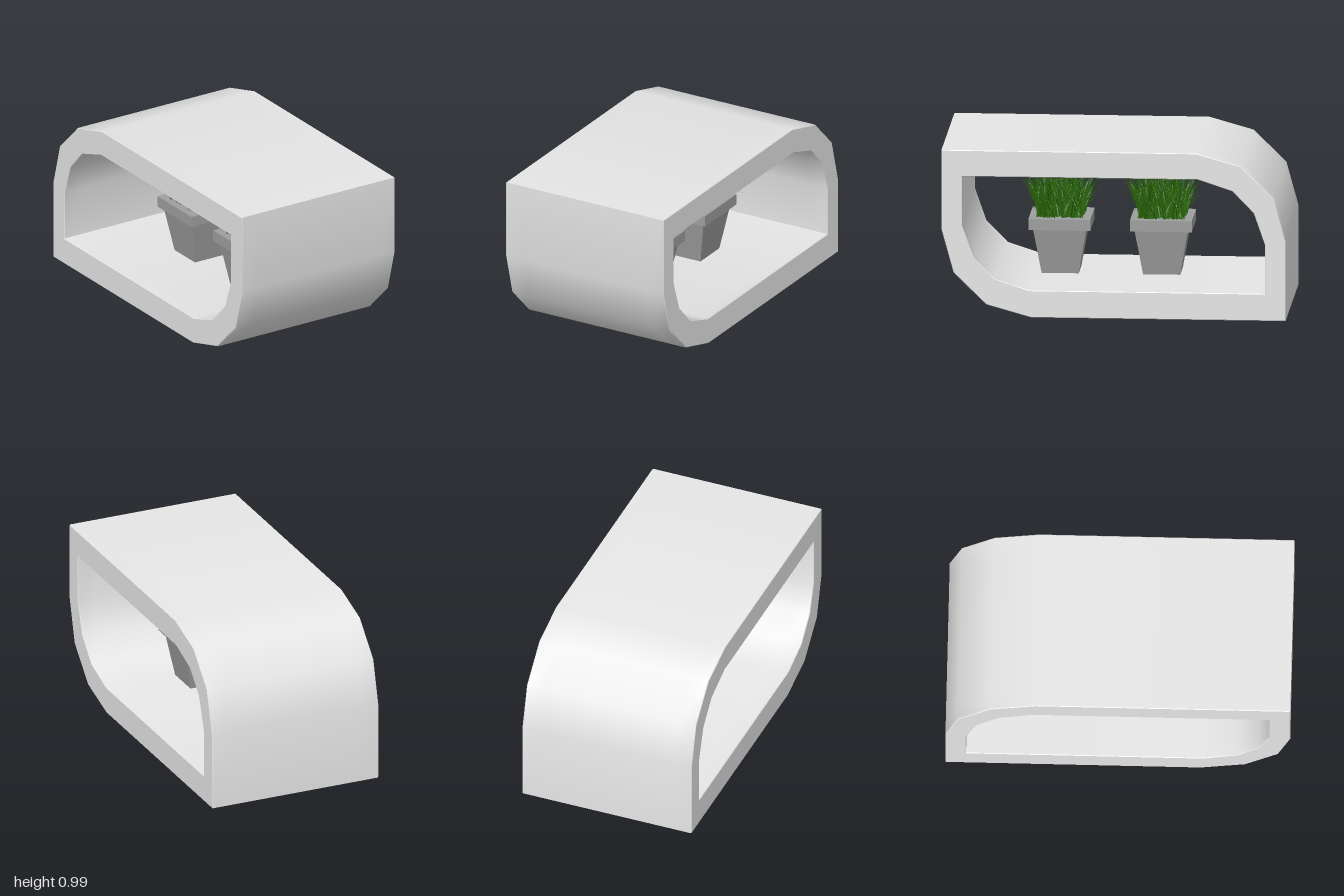
import * as THREE from 'three';
import { toCreasedNormals } from 'three/addons/utils/BufferGeometryUtils.js';

const mat = (name, color, side = THREE.FrontSide) => {
  const m = new THREE.MeshStandardMaterial({ color, side });
  m.name = name;
  return m;
};

const part = (name, geometry, material, y = 0) => {
  const mesh = new THREE.Mesh(geometry, material);
  mesh.name = name;
  mesh.position.y = y;
  return mesh;
};

// Half a profile, completed by turning it 180 degrees about its centre (anticlockwise).
function turnedLoop(half, height) {
  const turned = half.map(([x, y]) => [-x, height - y]);
  return [...half, ...turned].reverse().map(([x, y]) => new THREE.Vector2(x, y));
}

// Hollow planter shell, drawn in the side plane and extruded across the width.
function shellGeometry(width) {
  const outer = [[-1, 0.985], [0.48, 0.985], [0.74, 0.912], [0.93, 0.725], [1, 0.47]];
  const inner = [[-0.88, 0.83], [0.49, 0.83], [0.69, 0.764], [0.815, 0.636], [0.88, 0.45]];
  const bevel = 0.004;
  const shape = new THREE.Shape(turnedLoop(outer, 0.985));
  shape.holes.push(new THREE.Path(turnedLoop(inner, 0.99)));
  const geo = new THREE.ExtrudeGeometry(shape, {
    depth: width - 2 * bevel, steps: 10, bevelSegments: 1,
    bevelThickness: bevel, bevelSize: bevel, bevelOffset: -bevel,
  });
  geo.translate(0, 0, bevel - width / 2).rotateY(Math.PI / 2);
  return toCreasedNormals(geo, 0.65);
}

// Tapered square pot body.
function bodyGeometry(top, bottom, height) {
  const geo = new THREE.CylinderGeometry(top * Math.SQRT2, bottom * Math.SQRT2, height, 4, 1, false, Math.PI / 4);
  return toCreasedNormals(geo.translate(0, height / 2, 0), 0.5);
}

// Tuft of thin blades that curve outwards and taper to a point.
function grassGeometry(count, seed) {
  const rand = () => {
    seed = (seed * 16807) % 2147483647;
    return seed / 2147483647;
  };
  const spread = (size) => (rand() - 0.5) * size;
  const pos = [], index = [], steps = 3;
  const blade = (x, z, dx, dz, height, droop) => {
    const turn = rand() * Math.PI;
    const first = pos.length / 3;
    for (let i = 0; i <= steps; i++) {
      const t = i / steps;
      const out = t * 0.4 + t * t * 0.6;
      const y = height * (t - droop * t * t);
      const w = 0.005 * (1 - t * 0.85);
      const cx = x + dx * out, cz = z + dz * out;
      pos.push(cx - Math.cos(turn) * w, y, cz - Math.sin(turn) * w);
      pos.push(cx + Math.cos(turn) * w, y, cz + Math.sin(turn) * w);
      if (i < steps) {
        const a = first + i * 2;
        index.push(a, a + 1, a + 3, a, a + 3, a + 2);
      }
    }
  };
  for (let i = 0; i < count; i++) {
    const x = spread(0.27), z = spread(0.27);
    blade(x, z, x * 0.1 + spread(0.2), z * 0.1 + spread(0.2), 0.12 + rand() * 0.19, rand() * 0.2);
  }
  // A few stray blades around the edge
  blade(0.05, 0.1, 0.03, 0.12, 0.23, 0.05);
  blade(0.1, -0.05, 0.13, -0.14, 0.2, 0.88);
  blade(-0.02, -0.03, 0.01, 0, 0.33, 0.03);
  blade(0, -0.08, 0, -0.03, 0.31, 0.03);
  const geo = new THREE.BufferGeometry();
  geo.setAttribute('position', new THREE.Float32BufferAttribute(pos, 3));
  geo.setIndex(index);
  geo.computeVertexNormals();
  return geo;
}

export function createModel() {
  const model = new THREE.Group();
  model.name = 'planterShelf';
  const concrete = mat('pale concrete', 0xe6e6e6);
  const potGrey = mat('pot grey', 0x9e9e9e);
  const green = mat('grass green', 0x2a6a08, THREE.DoubleSide);

  model.add(part('shell', shellGeometry(1.06), concrete));

  // Two identical potted plants
  const body = bodyGeometry(0.155, 0.108, 0.27);
  const rim = new THREE.BoxGeometry(0.36, 0.065, 0.36);
  const grass = grassGeometry(680, 71);
  for (const z of [0.34, -0.25]) {
    const plant = new THREE.Group();
    plant.name = 'pottedPlant';
    plant.position.set(0, 0.178, z);
    plant.add(
      part('potBody', body, potGrey),
      part('potRim', rim, potGrey, 0.2995),
      part('grass', grass, green, 0.325),
    );
    model.add(plant);
  }
  return model;
}
